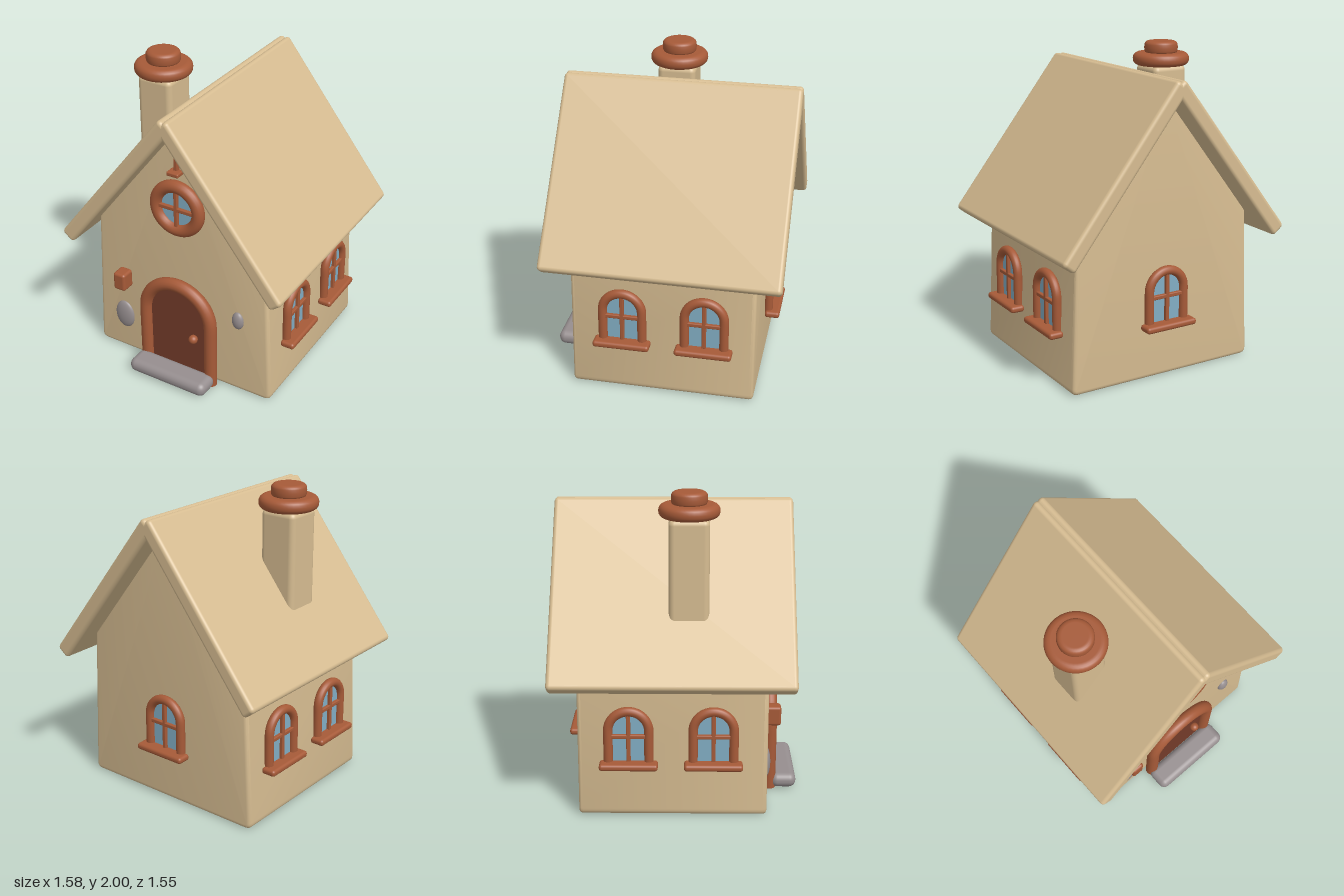
import * as THREE from 'three';
import { toCreasedNormals } from 'three/addons/utils/BufferGeometryUtils.js';
import { RoundedBoxGeometry } from 'three/addons/geometries/RoundedBoxGeometry.js';

function material(name, color) {
  const m = new THREE.MeshStandardMaterial({ color });
  m.name = name;
  return m;
}

export function createModel() {
  const plaster = material('plaster', 0xd6bc91);
  const wood = material('terracotta wood', 0xa65a38);
  const doorWood = material('dark door wood', 0x733b29);
  const stone = material('grey stone', 0x968e8f);
  const glass = material('blue glass', 0x82aec4);

  const house = new THREE.Group();
  house.name = 'cottage';

  function add(parent, name, geometry, mat, x = 0, y = 0, z = 0) {
    const mesh = new THREE.Mesh(geometry, mat);
    mesh.name = name;
    mesh.position.set(x, y, z);
    parent.add(mesh);
    return mesh;
  }
  const box = (w, h, d, r) => new RoundedBoxGeometry(w, h, d, 4, r);

  // Round-topped tube frame, open at the bottom, with capped feet
  function archFrame(parent, name, radius, bottom, springY, thick, z) {
    const points = [];
    for (let i = 0; i < 5; i++) points.push(new THREE.Vector3(radius, bottom + (springY - bottom) * i / 5, z));
    for (let i = 0; i <= 16; i++) {
      const a = Math.PI * i / 16;
      points.push(new THREE.Vector3(Math.cos(a) * radius, springY + Math.sin(a) * radius, z));
    }
    for (let i = 4; i >= 0; i--) points.push(new THREE.Vector3(-radius, bottom + (springY - bottom) * i / 5, z));
    const path = new THREE.CatmullRomCurve3(points);
    add(parent, name, new THREE.TubeGeometry(path, 64, thick, 16), wood);
    for (const side of [-1, 1]) {
      const cap = add(parent, name + 'Foot', new THREE.CircleGeometry(thick, 16), wood, side * radius, bottom, z);
      cap.rotation.x = Math.PI / 2;
    }
  }

  // Round-topped plate whose front lies at z
  function archPlate(parent, name, radius, bottom, springY, depth, z, mat) {
    const shape = new THREE.Shape();
    shape.moveTo(-radius, bottom);
    shape.lineTo(radius, bottom);
    shape.lineTo(radius, springY);
    shape.absarc(0, springY, radius, 0, Math.PI, false);
    shape.closePath();
    const geo = new THREE.ExtrudeGeometry(shape, { depth, bevelEnabled: false, curveSegments: 24 });
    add(parent, name, geo, mat, 0, 0, z - depth);
  }

  // Disc with a rounded rim, standing on y = 0
  function roundedDisc(radius, height, bevel) {
    const pts = [new THREE.Vector2(0, 0), new THREE.Vector2(radius - bevel - 0.005, 0)];
    for (let i = 0; i <= 10; i++) {
      const a = -Math.PI / 2 + Math.PI * i / 10;
      const middle = i < 5 ? bevel : i > 5 ? height - bevel : height / 2;
      pts.push(new THREE.Vector2(radius - bevel + Math.cos(a) * bevel, middle + Math.sin(a) * bevel));
    }
    pts.push(new THREE.Vector2(radius - bevel - 0.005, height), new THREE.Vector2(0, height));
    return new THREE.LatheGeometry(pts, 40);
  }

  // Walls: tapered gable block with softened edges
  const gable = new THREE.Shape();
  gable.moveTo(-0.61, 0);
  gable.lineTo(0.61, 0);
  gable.quadraticCurveTo(0.656, 0, 0.654, 0.045);
  gable.lineTo(0.612, 1.0);
  gable.lineTo(0, 1.8);
  gable.lineTo(-0.612, 1.0);
  gable.lineTo(-0.654, 0.045);
  gable.quadraticCurveTo(-0.656, 0, -0.61, 0);
  const bevel = 0.025;
  const wallGeo = new THREE.ExtrudeGeometry(gable, {
    depth: 1.17 - 2 * bevel, bevelThickness: bevel, bevelSize: bevel,
    bevelOffset: -bevel, bevelSegments: 4, curveSegments: 5,
  });
  add(house, 'walls', toCreasedNormals(wallGeo, 0.6), plaster, 0, 0, -0.61 + bevel);

  // Roof slabs crossing at the ridge
  for (const side of [-1, 1]) {
    const slab = add(house, 'roofSlab', box(1.26, 0.1, 1.495, 0.025), plaster, side * 0.373, 1.361, -0.027);
    slab.rotation.z = -side * 0.908;
  }

  // Chimney
  const chimney = new THREE.Group();
  chimney.name = 'chimney';
  chimney.position.set(-0.411, 0, 0.072);
  house.add(chimney);
  add(chimney, 'chimneyShaft', box(0.245, 0.8, 0.245, 0.035), plaster, 0, 1.448, 0);
  add(chimney, 'chimneyRing', roundedDisc(0.185, 0.082, 0.038), wood, 0, 1.844, 0);
  add(chimney, 'chimneyPot', roundedDisc(0.11, 0.085, 0.03), wood, 0, 1.915, 0);

  // Door with frame, knob and step
  const door = new THREE.Group();
  door.name = 'door';
  house.add(door);
  archPlate(door, 'doorPanel', 0.22, 0.01, 0.445, 0.05, 0.6, doorWood);
  archFrame(door, 'doorFrame', 0.242, 0.003, 0.445, 0.042, 0.6);
  add(door, 'doorKnob', new THREE.SphereGeometry(0.03, 20, 14), wood, 0.125, 0.325, 0.62);
  add(door, 'doorStep', box(0.57, 0.095, 0.165, 0.045), stone, 0, 0.052, 0.692);

  // Round gable window
  const roundWindow = new THREE.Group();
  roundWindow.name = 'roundWindow';
  roundWindow.position.set(0, 1.24, 0.575);
  house.add(roundWindow);
  add(roundWindow, 'roundFrame', new THREE.TorusGeometry(0.15, 0.041, 16, 48), wood);
  const pane = add(roundWindow, 'roundPane', new THREE.CylinderGeometry(0.13, 0.13, 0.008, 32), glass);
  pane.rotation.x = Math.PI / 2;
  add(roundWindow, 'verticalBar', box(0.026, 0.25, 0.026, 0.006), wood, 0, 0, 0.012);
  add(roundWindow, 'crossBar', box(0.25, 0.026, 0.026, 0.006), wood, 0, 0, 0.012);

  // Gable ornament
  add(house, 'gablePost', box(0.026, 0.16, 0.03, 0.006), wood, 0, 1.575, 0.572);
  add(house, 'gableFoot', box(0.082, 0.027, 0.07, 0.008), wood, 0, 1.493, 0.59);

  // Arched windows on both sides and the back
  function archedWindow(x, z, turn) {
    const g = new THREE.Group();
    g.name = 'archedWindow';
    g.position.set(x, 0, z);
    g.rotation.y = turn;
    house.add(g);
    archPlate(g, 'pane', 0.11, 0.365, 0.572, 0.008, 0.02, glass);
    archFrame(g, 'windowFrame', 0.125, 0.36, 0.572, 0.029, 0.023);
    add(g, 'verticalBar', box(0.026, 0.31, 0.026, 0.006), wood, 0, 0.525, 0.028);
    add(g, 'crossBar', box(0.22, 0.026, 0.026, 0.006), wood, 0, 0.535, 0.028);
    add(g, 'sill', box(0.36, 0.042, 0.095, 0.018), wood, 0, 0.352, 0.0525);
  }
  for (const z of [0.225, -0.295]) {
    archedWindow(0.63, z, Math.PI / 2);
    archedWindow(-0.63, z, -Math.PI / 2);
  }
  archedWindow(0, -0.608, Math.PI);

  // Wall stones and small box beside the door
  for (const [x, y, rx, ry] of [[-0.445, 0.275, 0.072, 0.102], [0.42, 0.55, 0.041, 0.062]]) {
    const s = add(house, 'wallStone', new THREE.SphereGeometry(1, 28, 18), stone, x, y, 0.56);
    s.scale.set(rx, ry, 0.03);
  }
  add(house, 'wallBox', box(0.088, 0.125, 0.1, 0.018), wood, -0.42, 0.588, 0.6);

  return house;
}
